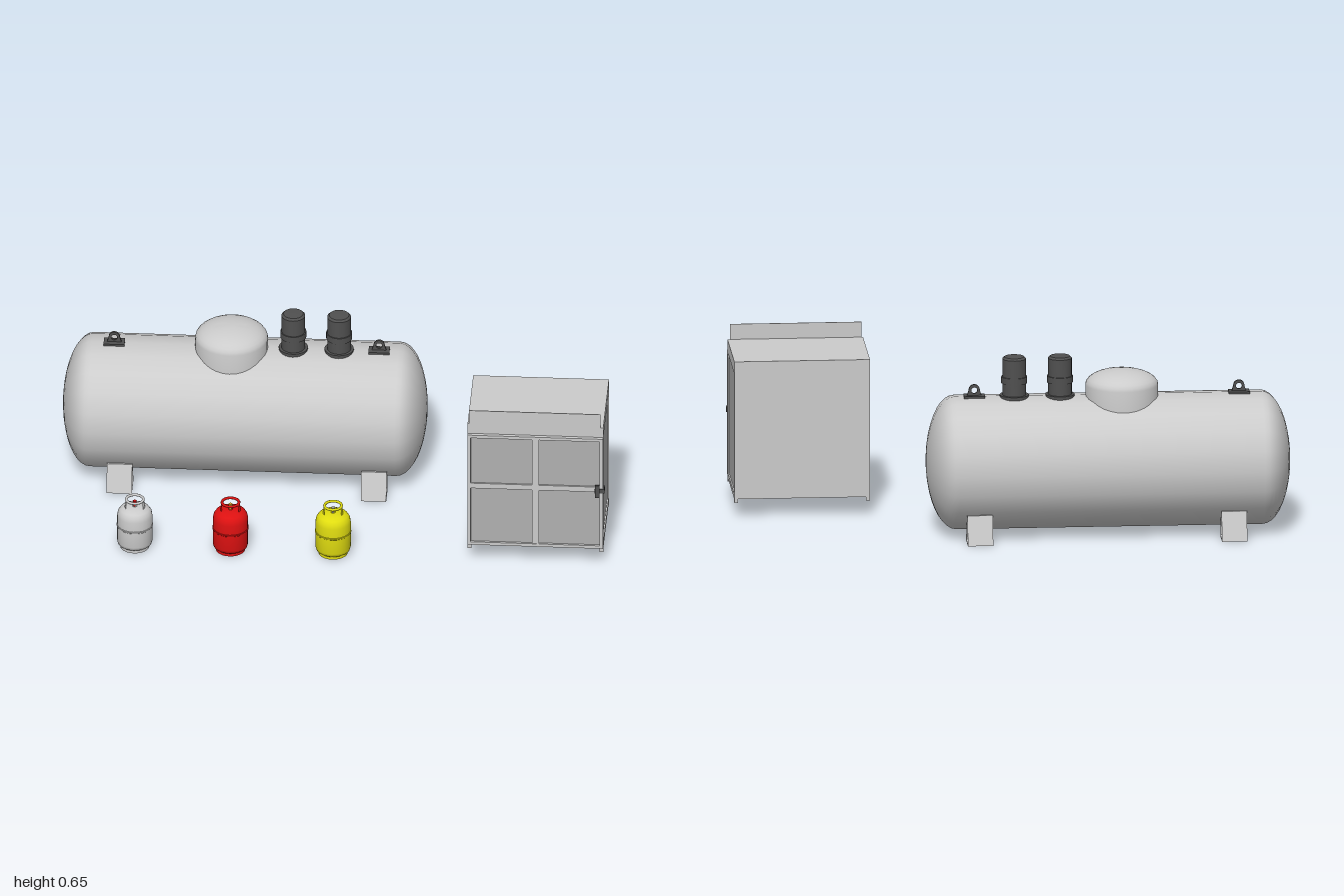
import * as THREE from 'three';
import { toCreasedNormals } from 'three/addons/utils/BufferGeometryUtils.js';

const mat = (color = 0xcccccc, side = THREE.FrontSide) => new THREE.MeshStandardMaterial({ color, side });
const grey = mat(), greyThin = mat(0xcccccc, THREE.DoubleSide);
const dark = mat(0x505050), panelGrey = mat(0xb0b0b0), red = mat(0xdd1111);

function add(parent, name, geometry, material, x = 0, y = 0, z = 0) {
  const mesh = new THREE.Mesh(geometry, material);
  mesh.name = name;
  mesh.position.set(x, y, z);
  parent.add(mesh);
  return mesh;
}

// Box given by its minimum and maximum corners
function block(parent, name, material, [x0, y0, z0], [x1, y1, z1]) {
  return add(parent, name, new THREE.BoxGeometry(x1 - x0, y1 - y0, z1 - z0), material,
    (x0 + x1) / 2, (y0 + y1) / 2, (z0 + z1) / 2);
}

function group(parent, name, x = 0, y = 0, z = 0) {
  const g = new THREE.Group();
  g.name = name;
  g.position.set(x, y, z);
  parent.add(g);
  return g;
}

// Revolved profile of [radius, height] pairs, listed from bottom to top
function lathe(profile, sides, crease = 0.7) {
  const points = profile.map(([r, y]) => new THREE.Vector2(r, y));
  return toCreasedNormals(new THREE.LatheGeometry(points, sides), crease);
}

// Quarter ellipse from the rim (r, y) to the axis, rising by h
function domeCap(r, y, h, steps) {
  return Array.from({ length: steps + 1 }, (_, i) => {
    const a = (i / steps) * Math.PI / 2;
    return [i === steps ? 0 : r * Math.cos(a), y + h * Math.sin(a)];
  });
}

function buildTank(root) {
  const tank = group(root, 'storageTank', -0.34, 0, -0.205);

  // Shell with bulged ends
  const cap = domeCap(0.244, 0.555, 0.105, 10);
  const shell = add(tank, 'tankShell',
    lathe([...cap.map(([r, y]) => [r, -y]).reverse(), ...cap], 20), grey, 0, 0.26, 0);
  shell.rotation.z = -Math.PI / 2;

  // Manway dome
  add(tank, 'manwayDome', lathe([[0.132, 0.44], ...domeCap(0.132, 0.54, 0.055, 8)], 32), grey, -0.05, 0, 0);

  // Valve stacks
  for (const x of [0.174, 0.34]) {
    add(tank, 'valveStack', lathe([
      [0, 0.48], [0.053, 0.48], [0.053, 0.508], [0.043, 0.508], [0.043, 0.552], [0.047, 0.552],
      [0.047, 0.576], [0.043, 0.576], [0.043, 0.642], [0.036, 0.649], [0, 0.652],
    ], 24), dark, x, 0, 0);
  }

  // Lifting lugs: base plate and eye
  const eye = new THREE.Shape();
  eye.moveTo(-0.028, 0);
  eye.lineTo(0.028, 0);
  eye.lineTo(0.02, 0.028);
  eye.absarc(0, 0.028, 0.02, 0, Math.PI, false);
  eye.closePath();
  eye.holes.push(new THREE.Path().absarc(0, 0.026, 0.011, 0, Math.PI * 2, true));
  const eyeGeometry = new THREE.ExtrudeGeometry(eye, { depth: 0.008, bevelEnabled: false, curveSegments: 10 });
  for (const x of [-0.475, 0.485]) {
    const lug = group(tank, 'liftingLug', x, 0.5, 0);
    block(lug, 'lugPlate', dark, [-0.038, -0.008, -0.023], [0.038, 0.008, 0.023]);
    add(lug, 'lugEye', eyeGeometry, dark, 0, 0, -0.004);
  }

  // Hollow tapered legs, mirrored front to back
  const outline = [[0.13, 0], [0.224, 0], [0.194, 0.106], [0.16, 0.106]];
  const inner = [[0.136, 0.005], [0.218, 0.005], [0.19, 0.102], [0.163, 0.102]];
  const toVectors = (list, s) => list.map(([z, y]) => new THREE.Vector2(s * z, y));
  for (const s of [-1, 1]) {
    const profile = new THREE.Shape(toVectors(outline, s));
    profile.holes.push(new THREE.Path(toVectors(inner, s)));
    const geometry = new THREE.ExtrudeGeometry(profile, { depth: 0.092, bevelEnabled: false });
    for (const x of [-0.49, 0.432]) {
      add(tank, 'tankLeg', geometry, greyThin, x, 0, 0).rotation.y = Math.PI / 2;
      tank.children.at(-1).position.x = x;
    }
  }
}

function buildBottle(root, x, color, valveMaterial) {
  const bottle = group(root, 'gasBottle', x, 0, 0.38);
  const paint = mat(color), thinPaint = mat(color, THREE.DoubleSide);

  // Body with foot ring, seam and shoulders
  add(bottle, 'footRing', new THREE.CylinderGeometry(0.053, 0.053, 0.024, 24, 1, true), thinPaint, 0, 0.012, 0);
  add(bottle, 'bottleBody', lathe([
    [0, 0.01], [0.053, 0.011], [0.061, 0.017], [0.064, 0.028], [0.064, 0.088], [0.066, 0.09], [0.066, 0.094],
    [0.064, 0.096], [0.064, 0.132], [0.061, 0.147], [0.053, 0.159], [0.04, 0.166], [0, 0.17],
  ], 24), paint);

  // Collar: two curved plates below a ring handle
  for (const side of [0, Math.PI]) {
    const plate = new THREE.CylinderGeometry(0.033, 0.037, 0.034, 8, 1, true, side + Math.PI / 2 - 0.55, 1.1);
    add(bottle, 'collarPlate', plate, thinPaint, 0, 0.18, 0);
  }
  add(bottle, 'collarRing', new THREE.TorusGeometry(0.031, 0.005, 8, 24), paint, 0, 0.197, 0).rotation.x = Math.PI / 2;

  // Valve
  add(bottle, 'valveStem', new THREE.CylinderGeometry(0.006, 0.009, 0.02, 10), paint, 0, 0.176, 0);
  add(bottle, 'valveKnob', new THREE.CylinderGeometry(0.007, 0.007, 0.006, 10), valveMaterial, 0, 0.188, 0);
  const outlet = add(bottle, 'valveOutlet', new THREE.CylinderGeometry(0.004, 0.004, 0.014, 8), valveMaterial, 0, 0.179, 0.009);
  outlet.rotation.x = Math.PI / 2;
}

function buildCabinet(root) {
  const cabinet = group(root, 'storageCabinet');
  const x0 = 0.503, x1 = 0.995, z0 = 0.07, z1 = 0.408;

  // Closed core showing as recessed side panels
  block(cabinet, 'sidePanels', panelGrey, [x0 + 0.005, 0.07, z0 + 0.004], [x1 - 0.005, 0.56, z1 - 0.004]);
  block(cabinet, 'backPanel', grey, [x0, 0.067, z0], [x1, 0.56, z0 + 0.003]);

  // Frame
  block(cabinet, 'roof', grey, [x0, 0.534, z0], [x1, 0.579, z1]);
  for (const x of [x0, x1 - 0.014]) {
    block(cabinet, 'bottomRail', grey, [x, 0.067, z0], [x + 0.014, 0.085, z1]);
    for (const z of [z0, z1 - 0.014]) {
      block(cabinet, 'cornerPost', grey, [x, 0.053, z], [x + 0.014, 0.54, z + 0.014]);
    }
  }

  // Header board above the doors
  block(cabinet, 'headerBoard', grey, [0.508, 0.575, z1], [0.985, 0.636, z1 + 0.003]);

  // Front doors: panel, border and cross bars
  const zf = 0.421;
  block(cabinet, 'doorPanel', panelGrey, [x0 + 0.004, 0.08, z1 - 0.006], [x1 - 0.004, 0.532, zf - 0.008]);
  for (const x of [x0, x1 - 0.012]) block(cabinet, 'doorStile', grey, [x, 0.075, z1], [x + 0.012, 0.538, zf]);
  for (const y of [0.075, 0.526]) block(cabinet, 'doorRail', grey, [x0, y, z1], [x1, y + 0.012, zf]);
  block(cabinet, 'doorMullion', grey, [0.738, 0.085, z1], [0.762, 0.53, zf - 0.001]);
  block(cabinet, 'doorCrossBar', grey, [x0 + 0.01, 0.313, z1], [x1 - 0.01, 0.334, zf - 0.002]);

  // Latch
  block(cabinet, 'latchBar', dark, [0.965, 0.311, zf - 0.003], [1, 0.328, zf + 0.004]);
  block(cabinet, 'latchPlate', dark, [0.966, 0.295, zf], [0.982, 0.345, zf + 0.009]);
  block(cabinet, 'latchStrap', dark, [0.994, 0.311, 0.396], [1, 0.328, zf + 0.004]);
}

export function createModel() {
  const root = new THREE.Group();
  root.name = 'gasStorageSet';
  buildTank(root);
  buildBottle(root, -0.705, 0xcccccc, red);
  buildBottle(root, -0.358, 0xdd1111, mat(0xddaa33));
  buildBottle(root, 0.014, 0xe0dc10, grey);
  buildCabinet(root);
  return root;
}
